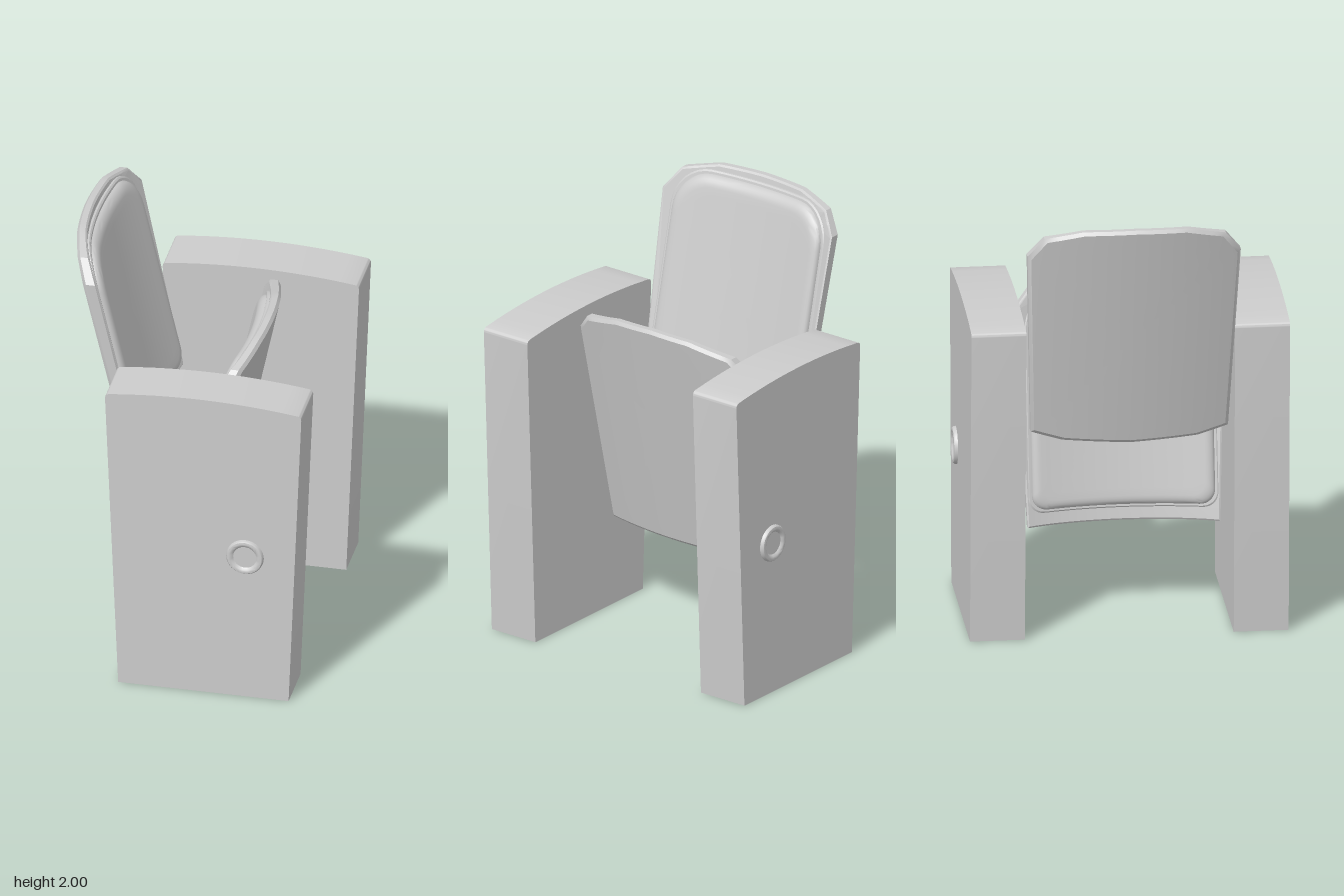
import * as THREE from 'three';
import { toCreasedNormals } from 'three/addons/utils/BufferGeometryUtils.js';

const material = new THREE.MeshStandardMaterial({ color: 0xcccccc });

function addMesh(parent, name, geometry) {
  const mesh = new THREE.Mesh(geometry, material);
  mesh.name = name;
  parent.add(mesh);
  return mesh;
}

// Mirrors half an outline of [z, y] points (top centre to bottom centre) and subdivides its edges
function closeOutline(half, maxStep = 0.06) {
  const loop = [...half, ...half.slice(1, -1).reverse().map(([z, y]) => [-z, y])];
  return loop.flatMap(([z, y], i) => {
    const [z2, y2] = loop[(i + 1) % loop.length];
    const n = Math.max(1, Math.ceil(Math.abs(z2 - z) / maxStep));
    return Array.from({ length: n }, (_, k) => [z + (z2 - z) * k / n, y + (y2 - y) * k / n]);
  });
}

// Half a rectangle with rounded corners
function roundedHalf(w, top, bottom, rTop, rBottom) {
  const pts = [[0, top]];
  for (const [r, cy, start] of [[rTop, top - rTop, Math.PI / 2], [rBottom, bottom + rBottom, 0]]) {
    for (let k = 0; k <= 8; k++) {
      const a = start - (k / 8) * Math.PI / 2;
      pts.push([w - r + r * Math.cos(a), cy + r * Math.sin(a)]);
    }
  }
  pts.push([0, bottom]);
  return pts;
}

// Lofts a curved, leaning slab; layers are [inset, depth, extra depth at the sides]
function curvedSlab(half, layers, { dir, x0, y0, lean }) {
  const outline = closeOutline(half);
  const ys = outline.map(p => p[1]);
  const top = Math.max(...ys), bottom = Math.min(...ys);
  const yc = (top + bottom) / 2, hh = (top - bottom) / 2;
  const hw = Math.max(...outline.map(p => p[0]));

  const cap = [0, 0.2, 0.4, 0.6, 0.8, 0.92];
  const first = layers[0], last = layers[layers.length - 1];
  const rings = [
    ...cap.map(s => [s, ...first]),
    ...layers.map(l => [1, ...l]),
    ...cap.slice().reverse().map(s => [s, ...last]),
  ];
  const positions = [], index = [], n = outline.length;
  for (const [s, inset, depth, lip = 0] of rings) {
    for (const [pz, py] of outline) {
      const z = pz * s * (1 - inset / hw);
      const y = yc + (py - yc) * s * (1 - inset / hh);
      const x = x0 + lean * (y0 - y) + 0.3 * z * z + depth + lip * (z / hw) ** 4;
      positions.push(dir * x, y, z);
    }
  }
  for (let r = 0; r < rings.length - 1; r++) {
    for (let j = 0; j < n; j++) {
      const a = r * n + j, b = r * n + (j + 1) % n, c = b + n, d = a + n;
      if (dir > 0) index.push(a, b, c, a, c, d);
      else index.push(a, c, b, a, d, c);
    }
  }
  const g = new THREE.BufferGeometry();
  g.setAttribute('position', new THREE.Float32BufferAttribute(positions, 3));
  g.setIndex(index);
  return toCreasedNormals(g, 0.5);
}

// Rigid shell with a chamfered rim, and a soft pad with a piped edge
const shellLayers = [[0.015, 0], [0, 0.014], [0, 0.04, 0.015], [0.008, 0.046, 0.015]];
const padLayers = [[0, 0.03], [0, 0.055], [0.006, 0.06], [0.014, 0.06]];
for (let k = 0; k <= 6; k++) {
  const a = (k / 6) * Math.PI / 2;
  padLayers.push([0.016 + 0.045 * (1 - Math.cos(a)), 0.06 + 0.033 * Math.sin(a)]);
}

function cushion(name, pose, shellHalf, padHalf) {
  const group = new THREE.Group();
  group.name = name;
  addMesh(group, name + 'Shell', curvedSlab(shellHalf, shellLayers, pose));
  addMesh(group, name + 'Pad', curvedSlab(padHalf, padLayers, pose));
  return group;
}

// Tapered end panel with a crowned top and a round cap on its outer face
function sidePanel(name, side) {
  const group = new THREE.Group();
  group.name = name;
  const s = new THREE.Shape();
  s.moveTo(-0.26, 0);
  s.lineTo(0.505, 0);
  s.lineTo(0.562, 1.43);
  s.quadraticCurveTo(0.562, 1.447, 0.545, 1.452);
  s.quadraticCurveTo(0.12, 1.508, -0.3, 1.458);
  s.quadraticCurveTo(-0.32, 1.455, -0.319, 1.435);
  s.closePath();
  const board = new THREE.ExtrudeGeometry(s, { depth: 0.242, bevelEnabled: false, curveSegments: 12 });
  board.translate(0, 0, side > 0 ? 0.46 : -0.702);
  addMesh(group, 'panelBoard', toCreasedNormals(board, 0.4));

  const profile = [[0.084, 0], [0.083, 0.01], [0.078, 0.017], [0.07, 0.019], [0.061, 0.017],
    [0.054, 0.01], [0.052, 0.008], [0, 0.008]].map(([r, h]) => new THREE.Vector2(r, h));
  const ring = addMesh(group, 'boltCap', toCreasedNormals(new THREE.LatheGeometry(profile, 40), 0.7));
  ring.position.set(0.31, 0.71, side * 0.701);
  ring.rotation.x = side * Math.PI / 2;
  return group;
}

export function createModel() {
  const model = new THREE.Group();
  model.name = 'foldingAuditoriumSeat';

  model.add(sidePanel('leftEndPanel', 1), sidePanel('rightEndPanel', -1));

  // Reclined backrest
  model.add(cushion('backrest', { dir: 1, x0: -0.57, y0: 2, lean: 0.234 },
    [[0, 2], [0.23, 1.995], [0.4, 1.955], [0.47, 1.86], [0.435, 0.97], [0.3, 0.935], [0, 0.92]],
    roundedHalf(0.425, 1.97, 0.98, 0.17, 0.07)));

  // Seat folded upright, its pad facing the backrest
  model.add(cushion('seat', { dir: -1, x0: -0.285, y0: 1.52, lean: 0.21 },
    [[0, 1.525], [0.2, 1.515], [0.4, 1.47], [0.46, 1.4], [0.425, 0.44], [0, 0.44]],
    roundedHalf(0.42, 1.475, 0.5, 0.17, 0.07)));

  return model;
}
